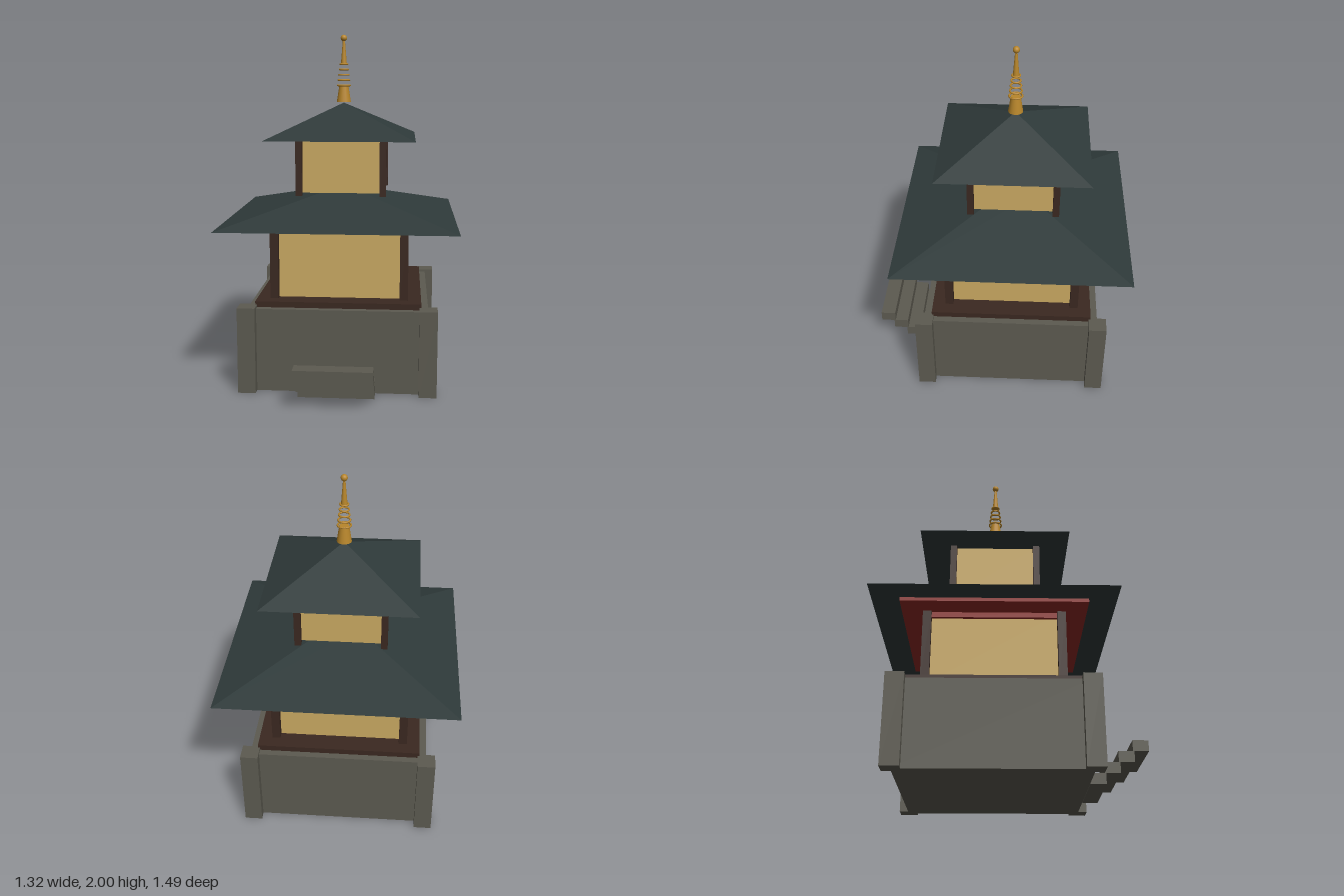
import * as THREE from 'three';

const mat = (name, color) => {
  const m = new THREE.MeshStandardMaterial({ color });
  m.name = name;
  return m;
};

export function createModel() {
  const stone = mat('stone', 0x5c5a50);
  const wood = mat('dark wood', 0x3a2820);
  const plaster = mat('ochre plaster', 0xc9a962);
  const red = mat('red lacquer', 0x8f2a24);
  const tile = mat('roof tile', 0x2f3a3a);
  const gold = mat('gold', 0xb8862b);

  const model = new THREE.Group();
  model.name = 'pagoda';
  const tower = new THREE.Group();
  tower.name = 'tower';
  tower.position.z = -0.08;
  model.add(tower);

  const add = (parent, name, geometry, material, x = 0, y = 0, z = 0) => {
    const mesh = new THREE.Mesh(geometry, material);
    mesh.name = name;
    mesh.position.set(x, y, z);
    parent.add(mesh);
    return mesh;
  };

  // square block given by half width and bottom and top heights
  const block = (name, half, y0, y1, material) =>
    add(tower, name, new THREE.BoxGeometry(half * 2, y1 - y0, half * 2), material, 0, (y0 + y1) / 2);

  // four square posts at the corners
  const posts = (name, centre, width, y0, y1, material) => {
    for (const sx of [-1, 1]) for (const sz of [-1, 1])
      add(tower, name, new THREE.BoxGeometry(width, y1 - y0, width), material,
        sx * centre, (y0 + y1) / 2, sz * centre);
  };

  // flat-sided square roof
  const roof = (name, halfTop, halfBottom, y0, y1) => {
    const g = new THREE.CylinderGeometry(halfTop * Math.SQRT2, halfBottom * Math.SQRT2, y1 - y0, 4)
      .rotateY(Math.PI / 4).toNonIndexed();
    g.computeVertexNormals();
    add(tower, name, g, tile, 0, (y0 + y1) / 2);
  };

  // stone base
  block('base', 0.505, 0, 0.475, stone);
  posts('basePillar', 0.505, 0.1, 0, 0.49, stone);
  block('platform', 0.466, 0.472, 0.508, wood);

  // lower storey
  block('lowerWalls', 0.35, 0.508, 0.915, plaster);
  posts('lowerPost', 0.368, 0.047, 0.508, 0.915, wood);
  block('lintel', 0.37, 0.885, 0.916, red);
  block('eavesBoard', 0.508, 0.915, 0.937, red);
  roof('lowerRoof', 0.09, 0.662, 0.935, 1.092);

  // upper storey
  block('upperWalls', 0.225, 1.094, 1.405, plaster);
  posts('upperPost', 0.241, 0.037, 1.08, 1.405, wood);
  roof('upperRoof', 0, 0.424, 1.405, 1.605);

  // finial: foot, floating rings, spire and ball
  const finial = new THREE.Group();
  finial.name = 'finial';
  tower.add(finial);
  add(finial, 'finialFoot', new THREE.CylinderGeometry(0.027, 0.042, 0.095, 16), gold, 0, 1.657);
  for (let i = 0; i < 5; i++)
    add(finial, 'finialRing', new THREE.TorusGeometry(0.037 - i * 0.0037, 0.005, 8, 24).rotateX(Math.PI / 2),
      gold, 0, 1.706 + i * 0.031);
  add(finial, 'finialSpire', new THREE.CylinderGeometry(0.006, 0.018, 0.146, 16), gold, 0, 1.9);
  add(finial, 'finialBall', new THREE.SphereGeometry(0.019, 16, 12), gold, 0, 1.981);

  // front steps
  for (let i = 0; i < 4; i++)
    add(model, 'step', new THREE.BoxGeometry(0.426, 0.06, 0.086), stone, 0, 0.03 + i * 0.0595, 0.47 + i * 0.078);

  return model;
}
